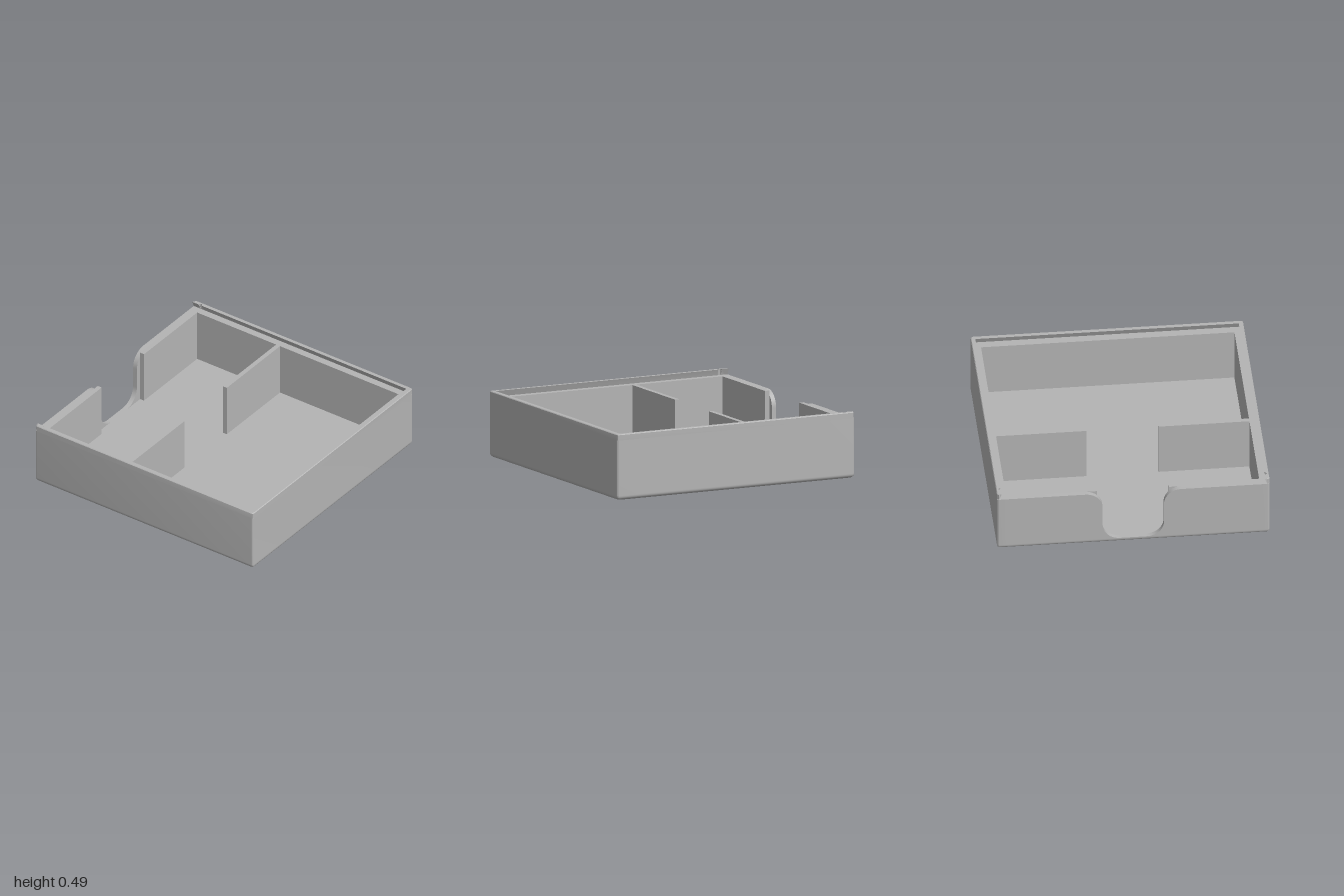
import * as THREE from 'three';
import { toCreasedNormals } from 'three/addons/utils/BufferGeometryUtils.js';

const FLOOR = 0.035, LEDGE = 0.445, TOP = 0.49; // main heights
const X = 1, Z = 0.98, R = 0.015;               // outer half sizes, corner radius
const CAVITY = 0.93;

// Skin over a list of rings, each an array of [x, y, z] going round the section
function loft(rings) {
  const n = rings[0].length, index = [];
  for (let j = 0; j < rings.length - 1; j++) {
    for (let i = 0; i < n; i++) {
      const a = j * n + i, b = j * n + (i + 1) % n;
      index.push(a, b, b + n, a, b + n, a + n);
    }
  }
  const g = new THREE.BufferGeometry();
  g.setAttribute('position', new THREE.Float32BufferAttribute(rings.flat(2), 3));
  g.setIndex(index);
  return toCreasedNormals(g, 0.6);
}

// Outer outline in plan (x, -z), open at the middle of the back
function outline() {
  const s = new THREE.Shape();
  s.moveTo(-CAVITY, Z);
  s.lineTo(-X + R, Z);
  s.quadraticCurveTo(-X, Z, -X, Z - R);
  s.lineTo(-X, -Z + R);
  s.quadraticCurveTo(-X, -Z, -X + R, -Z);
  s.lineTo(X - R, -Z);
  s.quadraticCurveTo(X, -Z, X, -Z + R);
  s.lineTo(X, Z - R);
  s.quadraticCurveTo(X, Z, X - R, Z);
  s.lineTo(CAVITY, Z);
  return s;
}

// Floor slab with a rounded lower edge
function floorGeometry() {
  const pts = outline().getPoints(4);
  const ring = (k, y) => pts.map(p => [p.x * k, y, -p.y * k]);
  const rings = [ring(0, 0)];
  for (let i = 0; i <= 6; i++) {
    const a = i / 6 * Math.PI / 2;
    rings.push(ring(1 - 0.03 * (1 - Math.sin(a)), 0.03 * (1 - Math.cos(a))));
  }
  rings.push(ring(1, FLOOR), ring(0, FLOOR));
  return loft(rings);
}

// Undercut rim on three sides, with a small detent notch near each back end
function rimGeometry() {
  const half = [];
  const add = (o, top, base) => half.push([
    [o[0], LEDGE, o[1]], [o[0], TOP - 0.005, o[1]], [o[0] * 0.995, TOP, o[1] * 0.995],
    [top[0], TOP, top[1]], [base[0], LEDGE, base[1]],
  ]);
  const side = (z, ox, inner) => add([ox, z], [inner, z], [0.985, z]);
  side(-Z, X - R, 0.967);
  side(-Z + R, X, 0.967);
  for (let i = -4; i <= 4; i++) {
    const a = i / 4 * Math.PI / 2;
    side(-0.91 + 0.015 * Math.sin(a), X, 0.967 + 0.017 * Math.cos(a));
  }
  for (const o of [[X, Z - R], [X - R * 0.3, Z - R * 0.3], [X - R, Z]]) {
    add(o, [0.967, 0.945], [0.985, 0.965]);
  }
  const mirrored = half.map(s => s.map(([x, y, z]) => [-x, y, z])).reverse();
  const path = [...half, ...mirrored];
  const cap = s => {
    const c = [0, 1, 2].map(k => s.reduce((sum, p) => sum + p[k], 0) / s.length);
    return s.map(() => c);
  };
  return loft([cap(path[0]), ...path, cap(path[path.length - 1])]);
}

// Half of the outer back wall, with the flared and filleted finger cut-out
function backGeometry(s) {
  const r = 0.125, pts = [[CAVITY, FLOOR], [CAVITY, LEDGE]];
  for (let i = 0; i <= 10; i++) {
    const t = i / 10 * Math.PI / 2;
    pts.push([0.35 - r * Math.sin(t), LEDGE - r + r * Math.cos(t)]);
  }
  for (let i = 0; i <= 10; i++) {
    const t = i / 10 * Math.PI / 2;
    pts.push([0.1 + r * Math.cos(t), FLOOR + r - r * Math.sin(t)]);
  }
  const shape = new THREE.Shape(pts.map(([x, y]) => new THREE.Vector2(s * x, y)));
  const g = new THREE.ExtrudeGeometry(shape, { depth: 0.035, bevelEnabled: false });
  return toCreasedNormals(g.translate(0, 0, -Z), 0.6);
}

export function createModel() {
  const group = new THREE.Group();
  const grey = new THREE.MeshStandardMaterial({ color: 0xb4b4b4 });
  grey.name = 'grey plastic';
  const add = (name, geometry) => {
    const m = new THREE.Mesh(geometry, grey);
    m.name = name;
    group.add(m);
    return m;
  };

  add('floor', floorGeometry());

  // Side and front walls up to the lid ledge
  const plan = outline();
  plan.lineTo(CAVITY, -0.9);
  plan.lineTo(-CAVITY, -0.9);
  const walls = new THREE.ExtrudeGeometry(plan, {
    depth: LEDGE - FLOOR, bevelEnabled: false, curveSegments: 4,
  });
  walls.rotateX(-Math.PI / 2).translate(0, FLOOR, 0);
  add('sideAndFrontWalls', toCreasedNormals(walls, 0.6));

  add('lidRim', rimGeometry());

  // Back wall halves, their inner lining and the compartment dividers
  const x0 = 0.265, h = LEDGE - FLOOR;
  for (const s of [1, -1]) {
    const sideName = s > 0 ? 'left' : 'right';
    add(sideName + 'BackWall', backGeometry(s));
    for (const [name, z] of [['BackLining', -0.9275], ['Divider', -0.1825]]) {
      const panel = add(sideName + name, new THREE.BoxGeometry(CAVITY - x0, h, 0.035));
      panel.position.set(s * (CAVITY + x0) / 2, FLOOR + h / 2, z);
    }
  }
  return group;
}
